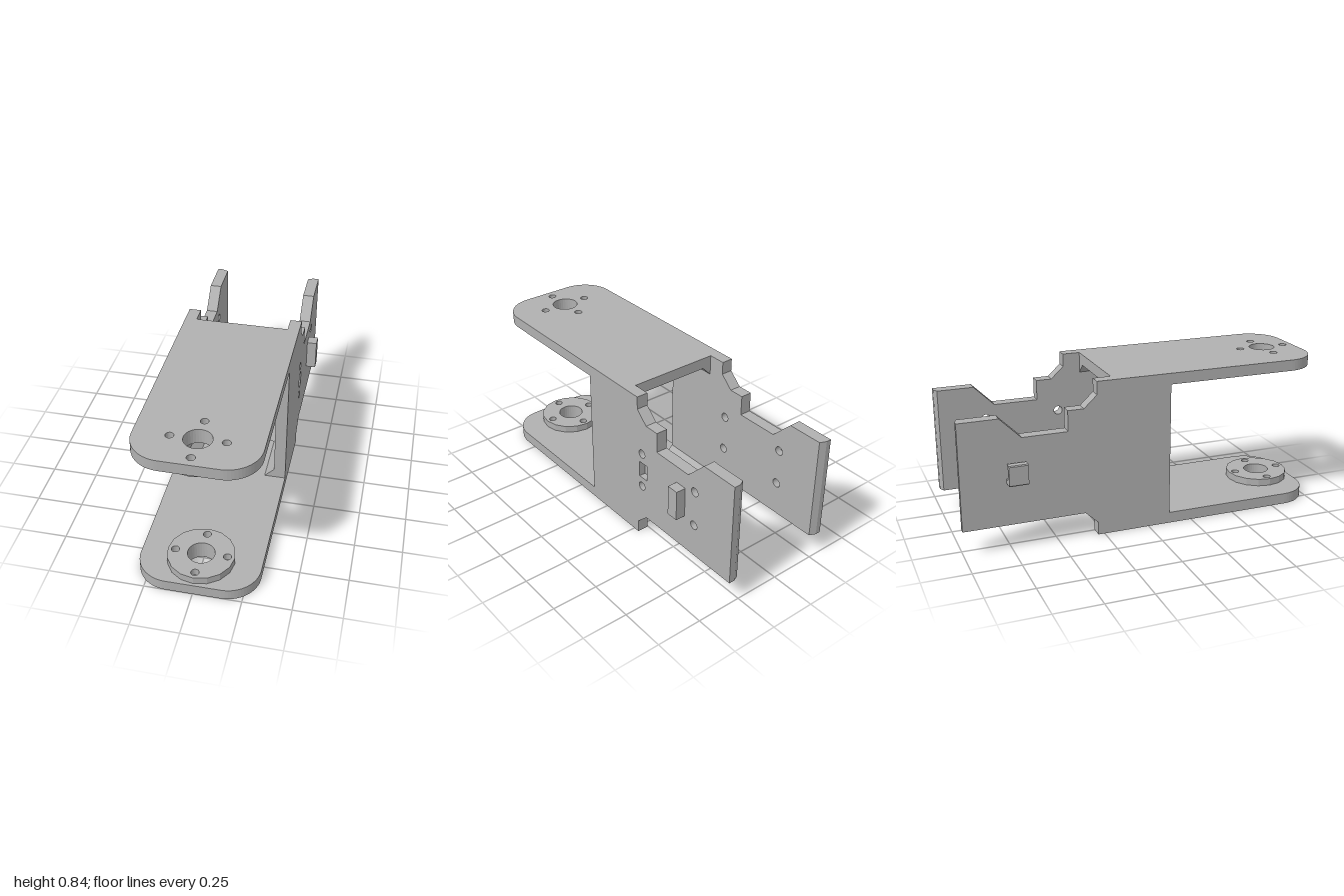
import * as THREE from 'three';

const L = -0.31, R = 0.316, T = 0.063, CX = 0.003; // outer wall faces, wall thickness, centre line

function circle(x, y, r, n = 32) {
  const pts = [];
  for (let i = 0; i < n; i++) {
    const a = -2 * Math.PI * i / n;
    pts.push(new THREE.Vector2(x + r * Math.cos(a), y + r * Math.sin(a)));
  }
  return new THREE.Path(pts);
}
const poly = (pts, C = THREE.Shape) => new C(pts.map(p => new THREE.Vector2(p[0], p[1])));
const extrude = (shape, depth) => new THREE.ExtrudeGeometry(shape, { depth, bevelEnabled: false, curveSegments: 8 });

export function createModel() {
  const group = new THREE.Group();
  const grey = new THREE.MeshStandardMaterial({ color: 0xb0b0b0 });
  grey.name = 'grey plastic';
  const add = (name, geo) => {
    const mesh = new THREE.Mesh(geo, grey);
    mesh.name = name;
    group.add(mesh);
  };
  // profile in (x, z), lying flat between two heights
  const slab = (name, shape, y0, y1) =>
    add(name, extrude(shape, y1 - y0).rotateX(Math.PI / 2).translate(0, y1, 0));
  // profile in (-z, y), standing between two x positions
  const upright = (shape, x0, x1) =>
    extrude(shape, x1 - x0).rotateY(Math.PI / 2).translate(x0, 0, 0);

  // Horizontal arms with rounded front corners and screw holes
  const HZ = 0.812, RAD = 0.17, D = 0.135;
  const screwHoles = r => [[D, 0], [-D, 0], [0, D], [0, -D]].map(([x, z]) => circle(CX + x, HZ + z, r, 20));
  function armShape(holeRadius) {
    const s = new THREE.Shape();
    s.moveTo(L + T, -0.19);
    s.lineTo(R - T, -0.19);
    s.lineTo(R - T, 0.12);
    s.lineTo(R, 0.12);
    s.absarc(R - RAD, 1 - RAD, RAD, 0, Math.PI / 2);
    s.absarc(L + RAD, 1 - RAD, RAD, Math.PI / 2, Math.PI);
    s.lineTo(L, 0.12);
    s.lineTo(L + T, 0.12);
    s.holes.push(circle(CX, HZ, 0.07), ...screwHoles(holeRadius));
    return s;
  }
  slab('lowerArm', armShape(0.034), 0, 0.06);
  slab('upperArm', armShape(0.021), 0.78, 0.84);

  // Round bosses on the inner faces of the arms
  const boss = holes => {
    const s = new THREE.Shape();
    s.absarc(CX, HZ, 0.174, 0, Math.PI * 2);
    s.holes.push(circle(CX, HZ, 0.07), ...holes);
    return s;
  };
  slab('lowerBoss', boss(screwHoles(0.021)), 0.06, 0.1);
  slab('upperBoss', boss([]), 0.76, 0.78);

  // Side walls, each in an outer and an inner layer so that some holes are blind
  const profile = [[-0.12, 0], [0.285, 0], [0.285, 0.07], [0.355, 0.135], [1, 0.135], [1, 0.705], [0.79, 0.705],
    [0.68, 0.595], [0.44, 0.595], [0.44, 0.705], [0.355, 0.705], [0.285, 0.77], [0.285, 0.84], [-0.12, 0.84]];
  function wall(holes, slot) {
    const s = poly(profile);
    if (holes) for (const u of [0.32, 0.73]) for (const y of [0.32, 0.52]) s.holes.push(circle(u, y, 0.024, 20));
    if (slot) s.holes.push(poly([[0.3, 0.375], [0.3, 0.465], [0.36, 0.465], [0.36, 0.375]], THREE.Path));
    return s;
  }
  // small chamfer on the inner rear edge
  function chamfer(geo, innerX) {
    const p = geo.attributes.position;
    for (let i = 0; i < p.count; i++)
      if (Math.abs(p.getX(i) - innerX) < 1e-4 && p.getZ(i) < -0.99) p.setZ(i, -0.985);
    geo.computeVertexNormals();
    return geo;
  }
  const half = 0.035;
  add('leftWallOuter', upright(wall(true, true), R - half, R));
  add('leftWallInner', chamfer(upright(wall(true, false), R - T, R - half), R - T));
  add('rightWallOuter', upright(wall(false, false), L, L + T - half));
  add('rightWallInner', chamfer(upright(wall(true, false), L + T - half, L + T), L + T));

  // Corner gussets between walls and arms
  for (const [side, x, dx] of [['right', L + T, 0.052], ['left', R - T, -0.052]])
    for (const [level, y, dy] of [['Lower', 0.06, 0.052], ['Upper', 0.78, -0.052]]) {
      const s = poly([[x, y], [x + dx, y], [x, y + dy]]);
      add(side + level + 'Gusset', extrude(s, 0.31).translate(0, 0, -0.19));
    }

  // Tab on the left wall
  add('tab', new THREE.BoxGeometry(0.054, 0.168, 0.065).translate(R + 0.027, 0.419, -0.628));

  // Cable hook on the right wall
  const hook = poly([[L, 0.365], [L, 0.383], [-0.315, 0.39], [-0.346, 0.39], [-0.346, 0.462], [-0.338, 0.459],
    [-0.331, 0.461], [-0.331, 0.474], [-0.365, 0.474], [-0.37, 0.469], [-0.37, 0.37], [-0.365, 0.365]]);
  add('cableHook', extrude(hook, 0.1).translate(0, 0, -0.765));

  return group;
}
